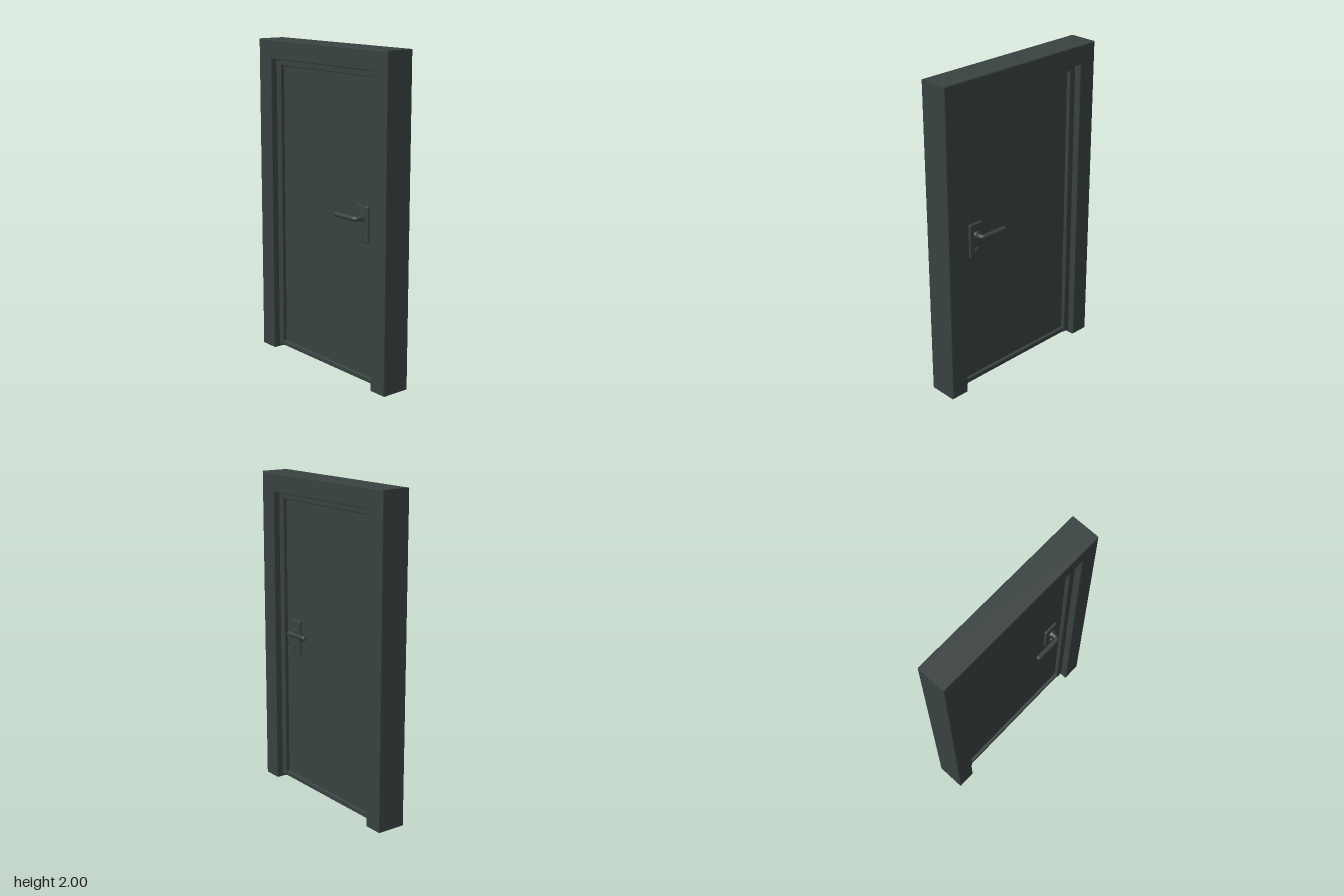
import * as THREE from 'three';
import { RoundedBoxGeometry } from 'three/addons/geometries/RoundedBoxGeometry.js';

const slate = new THREE.MeshStandardMaterial({ color: 0x394141 });
slate.name = 'dark slate';

function add(parent, name, geometry, x = 0, y = 0, z = 0) {
  const mesh = new THREE.Mesh(geometry, slate);
  mesh.name = name;
  mesh.position.set(x, y, z);
  parent.add(mesh);
  return mesh;
}

// Upside-down U outline (two jambs and a lintel), extruded evenly about z = 0
function portal(outerX, outerTop, innerX, innerTop, bottom, depth, bevel) {
  const b = bevel;
  const shape = new THREE.Shape([
    [-outerX + b, bottom + b], [-innerX - b, bottom + b], [-innerX - b, innerTop + b],
    [innerX + b, innerTop + b], [innerX + b, bottom + b], [outerX - b, bottom + b],
    [outerX - b, outerTop - b], [-outerX + b, outerTop - b],
  ].map(([x, y]) => new THREE.Vector2(x, y)));
  const geometry = new THREE.ExtrudeGeometry(shape, {
    depth: depth - 2 * b, bevelEnabled: true, bevelThickness: b, bevelSize: b, bevelSegments: 2,
  });
  geometry.translate(0, 0, -depth / 2 + b);
  return geometry;
}

// Lever handle with back plate and lock, facing +z from the leaf surface
function makeHandle(leafZ) {
  const handle = new THREE.Group();
  add(handle, 'backPlate', new RoundedBoxGeometry(0.1, 0.22, 0.02, 3, 0.008), 0.33, 0.98, leafZ + 0.005);
  const collar = add(handle, 'collar', new THREE.CylinderGeometry(0.022, 0.025, 0.02, 24), 0.33, 1.015, leafZ + 0.02);
  collar.rotation.x = Math.PI / 2;
  const lock = add(handle, 'lockCylinder', new THREE.CylinderGeometry(0.014, 0.014, 0.012, 20), 0.33, 0.92, leafZ + 0.018);
  lock.rotation.x = Math.PI / 2;

  // Neck bending into the horizontal grip
  const path = new THREE.CurvePath();
  const p = (x, z) => new THREE.Vector3(x, 1.015, z);
  path.add(new THREE.LineCurve3(p(0.33, leafZ), p(0.33, 0.07)));
  path.add(new THREE.QuadraticBezierCurve3(p(0.33, 0.07), p(0.33, 0.091), p(0.305, 0.091)));
  path.add(new THREE.LineCurve3(p(0.305, 0.091), p(0.16, 0.091)));
  add(handle, 'lever', new THREE.TubeGeometry(path, 40, 0.015, 14, false));
  add(handle, 'leverTip', new THREE.SphereGeometry(0.015, 14, 10), 0.16, 1.015, 0.091);
  return handle;
}

export function createModel() {
  const door = new THREE.Group();
  door.name = 'door';
  const leafZ = 0.025;

  // Surround and the stepped stop inside it
  add(door, 'frame', portal(0.592, 2, 0.472, 1.88, 0, 0.187, 0.006));
  add(door, 'doorStop', portal(0.48, 1.89, 0.43, 1.84, 0.015, 0.1, 0.006));

  // Leaf and threshold
  add(door, 'leaf', new THREE.BoxGeometry(0.88, 1.83, leafZ * 2), 0, 0.935, 0);
  add(door, 'threshold', new RoundedBoxGeometry(0.95, 0.032, 0.09, 2, 0.006), 0, 0.032, 0);

  // One handle on each face
  const front = makeHandle(leafZ);
  front.name = 'frontHandle';
  door.add(front);
  const back = makeHandle(leafZ);
  back.name = 'backHandle';
  back.scale.z = -1;
  door.add(back);

  return door;
}
